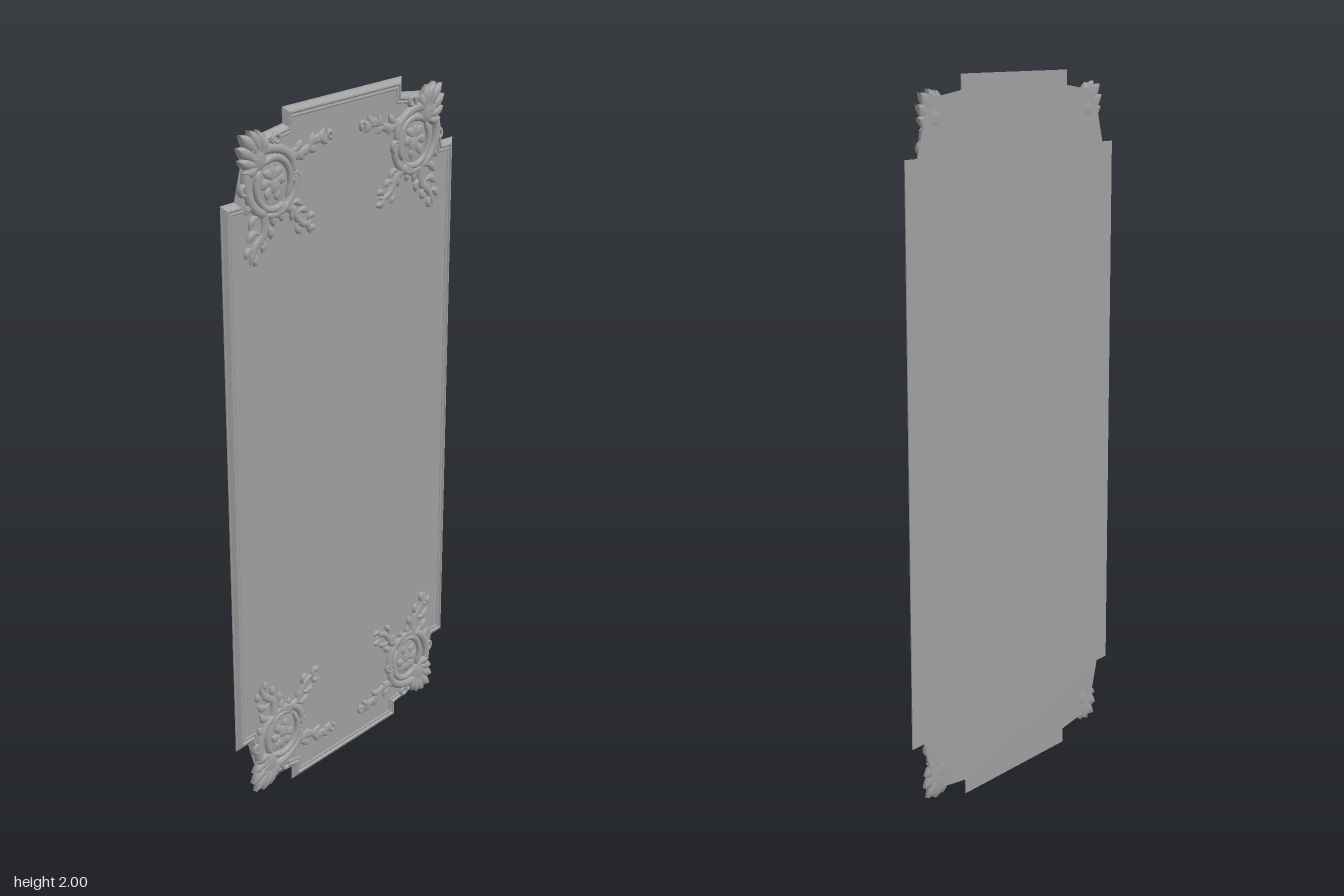
import * as THREE from 'three';
import { mergeGeometries } from 'three/addons/utils/BufferGeometryUtils.js';

const BACK = -0.013, FIELD = -0.004;
const mat = new THREE.MeshStandardMaterial({ color: 0x9e9e9e });
const V = (x, y) => new THREE.Vector2(x, y);

// One quarter of the panel outline, measured from the panel centre
const QUARTER = [[0.463, 0.792], [0.414, 0.792], [0.394, 0.862], [0.38, 0.91], [0.33, 0.945], [0.235, 0.958], [0.235, 1]];

function outline() {
  const pts = [];
  for (const [sx, sy] of [[1, 1], [-1, 1], [-1, -1], [1, -1]]) {
    const q = QUARTER.map(([x, y]) => V(x * sx, y * sy + 1));
    pts.push(...(sx * sy > 0 ? q : q.reverse()));
  }
  return pts;
}

// Mitred inward offset of a counter-clockwise outline
function inset(pts, d) {
  const n = pts.length;
  return pts.map((p, i) => {
    const a = p.clone().sub(pts[(i + n - 1) % n]).normalize();
    const b = pts[(i + 1) % n].clone().sub(p).normalize();
    const na = V(-a.y, a.x), nb = V(-b.y, b.x);
    return p.clone().addScaledVector(na.clone().add(nb), d / (1 + na.dot(nb)));
  });
}

// Moulding: a stepped profile carried round the outline, [inset, z]
function mouldingGeometry(pts) {
  const profile = [[0, BACK], [0, -0.0105], [0.004, -0.0085], [0.009, -0.004], [0.014, 0], [0.018, 0.0005],
    [0.021, -0.003], [0.024, -0.003], [0.027, -0.0015], [0.03, -0.0025], [0.032, FIELD - 0.001]];
  const rings = profile.map(([d, z]) => inset(pts, d).map(p => [p.x, p.y, z]));
  const pos = [], n = pts.length;
  for (let k = 0; k < rings.length - 1; k++)
    for (let i = 0; i < n; i++) {
      const j = (i + 1) % n;
      const a = rings[k][i], b = rings[k][j], c = rings[k + 1][j], d = rings[k + 1][i];
      pos.push(...a, ...b, ...c, ...a, ...c, ...d);
    }
  const g = new THREE.BufferGeometry();
  g.setAttribute('position', new THREE.Float32BufferAttribute(pos, 3));
  g.computeVertexNormals();
  return g;
}

// Carved stroke: domed cross-section swept along a flat curve.
// A leaf swells towards its tip (larger swell = blunter); a plain stroke tapers to the end ratio.
function stroke(points, width, height, { steps = 20, swell = 0, end = 0.5, lift = 0 } = {}) {
  const curve = new THREE.CatmullRomCurve3(points.map(([x, y]) => new THREE.Vector3(x, y, 0)));
  const SEG = 7, ring = SEG + 3, pos = [], idx = [];
  for (let i = 0; i <= steps; i++) {
    const t = i / steps, p = curve.getPointAt(t), tan = curve.getTangentAt(t);
    const round = Math.sqrt(Math.max(0, Math.min(1, t * 9, (1 - t) * 9)));
    const f = Math.max(0.02, swell ? Math.sin(Math.PI * Math.pow(0.15 + 0.85 * t, swell)) : (1 + (end - 1) * t) * round);
    const put = (s, z) => pos.push(p.x - tan.y * s, p.y + tan.x * s, z);
    put(-width * f, BACK + 0.0005);
    for (let k = 0; k <= SEG; k++) {
      const a = Math.PI * k / SEG;
      put(-Math.cos(a) * width * f, FIELD - 0.001 + lift + Math.sin(a) * height * (0.35 + 0.65 * f));
    }
    put(width * f, BACK + 0.0005);
  }
  for (let i = 0; i < steps; i++)
    for (let k = 0; k < ring; k++) {
      const a = i * ring + k, b = i * ring + (k + 1) % ring;
      idx.push(a, a + ring, b, b, a + ring, b + ring);
    }
  const g = new THREE.BufferGeometry();
  g.setAttribute('position', new THREE.Float32BufferAttribute(pos, 3));
  g.setIndex(idx);
  return g;
}

// Spiral scroll running inwards from a start angle
function scroll(cx, cy, r, start, turns, w, h) {
  const pts = Array.from({ length: 12 }, (_, i) => {
    const t = i / 11, a = start + turns * 2 * Math.PI * t, q = r * (1 - 0.8 * t);
    return [cx + Math.cos(a) * q, cy + Math.sin(a) * q];
  });
  return stroke(pts, w, h, { end: 0.8 });
}

// Arc of an oval, angles in radians
function arc(cx, cy, rx, ry, a0, a1, w, h, end) {
  const pts = Array.from({ length: 12 }, (_, i) => {
    const a = a0 + (a1 - a0) * i / 11;
    return [cx + Math.cos(a) * rx, cy + Math.sin(a) * ry];
  });
  return stroke(pts, w, h, { steps: 28, end });
}

// Blunt leaf lobe bending sideways between two points
function lobe(x0, y0, x1, y1, w, h, bend = 0.15, lift = 0) {
  const dx = x1 - x0, dy = y1 - y0;
  return stroke([[x0, y0], [(x0 + x1) / 2 - dy * bend, (y0 + y1) / 2 + dx * bend], [x1, y1]],
    w, h, { swell: 1.9, steps: 14, lift });
}

// Low oval dome
function dome(x, y, rx, ry, top) {
  const g = new THREE.SphereGeometry(1, 20, 12);
  g.deleteAttribute('uv');
  g.deleteAttribute('normal');
  return g.scale(rx, ry, top - FIELD).translate(x, y, FIELD);
}

// Parts of the upper +x corner ornament
function cornerParts() {
  const cx = 0.282, cy = 1.815;
  // Cartouche of two facing C-scrolls round a spread leaf
  const medallion = [
    arc(cx, cy, 0.064, 0.066, 0.9, 3.9, 0.012, 0.011, 0.8),
    arc(cx, cy, 0.062, 0.068, 0.75, -2.2, 0.012, 0.011, 0.8),
    dome(cx, cy, 0.054, 0.058, -0.001),
    dome(cx - 0.004, cy - 0.006, 0.022, 0.024, 0.005),
  ];
  for (const [dx, dy] of [[0.038, 0.034], [0.006, 0.048], [-0.034, 0.036], [-0.045, -0.002], [0.046, -0.008], [0.026, -0.04], [-0.014, -0.048]])
    medallion.push(lobe(cx, cy - 0.004, cx + dx, cy + dy, 0.014, 0.007, dx * 5, 0.002));

  // Shell of lobes filling the cut corner
  const shell = [dome(0.34, 1.89, 0.036, 0.036, 0.007)];
  for (const [x, y, w] of [[0.308, 1.946, 0.014], [0.336, 1.962, 0.015], [0.367, 1.966, 0.016], [0.398, 1.957, 0.017],
    [0.408, 1.926, 0.016], [0.404, 1.893, 0.015], [0.393, 1.862, 0.014]])
    shell.push(lobe(0.325, 1.875, x, y, w, 0.013, (y - 1.925) * 2, 0.001));
  shell.push(scroll(0.352, 1.905, 0.018, 3.6, 1.1, 0.008, 0.013));

  // Scrolls hugging the cartouche
  const scrolls = [
    stroke([[0.355, 1.89], [0.378, 1.85], [0.374, 1.8], [0.348, 1.76], [0.305, 1.735]], 0.016, 0.012, { end: 0.8 }),
    stroke([[0.335, 1.905], [0.285, 1.906], [0.238, 1.89], [0.21, 1.86], [0.206, 1.82]], 0.015, 0.012, { end: 0.8 }),
    stroke([[0.204, 1.84], [0.2, 1.79], [0.225, 1.752], [0.27, 1.732], [0.32, 1.738]], 0.013, 0.01, { end: 0.8 }),
    scroll(0.268, 1.925, 0.018, -0.8, 1.2, 0.008, 0.01),
    scroll(0.388, 1.815, 0.016, 2.2, -1.2, 0.008, 0.01),
    scroll(0.2, 1.812, 0.018, 0.5, 1.2, 0.008, 0.01),
  ];

  // Leaf spray running inwards along the short edge
  const sideSpray = [stroke([[0.25, 1.895], [0.205, 1.872], [0.16, 1.875], [0.115, 1.9], [0.06, 1.893]], 0.016, 0.008, { end: 0.55 })];
  for (const [x0, y0, x1, y1] of [[0.22, 1.885, 0.172, 1.908], [0.175, 1.875, 0.128, 1.918], [0.14, 1.89, 0.086, 1.921],
    [0.215, 1.875, 0.168, 1.852], [0.175, 1.872, 0.118, 1.864], [0.125, 1.892, 0.074, 1.876]])
    sideSpray.push(lobe(x0, y0, x1, y1, 0.012, 0.008, y1 > y0 ? 0.2 : -0.2));
  sideSpray.push(scroll(0.068, 1.9, 0.013, -1.6, -1, 0.007, 0.008));

  // Leaf spray running along the long edge
  const longSpray = [stroke([[0.335, 1.775], [0.315, 1.735], [0.318, 1.69], [0.352, 1.66], [0.37, 1.618]], 0.018, 0.009, { end: 0.5 })];
  for (const [x0, y0, x1, y1] of [[0.335, 1.77, 0.385, 1.752], [0.32, 1.735, 0.374, 1.712], [0.325, 1.69, 0.382, 1.678], [0.355, 1.66, 0.388, 1.638],
    [0.315, 1.735, 0.28, 1.7], [0.315, 1.705, 0.292, 1.67], [0.33, 1.68, 0.328, 1.642], [0.36, 1.65, 0.358, 1.612]])
    longSpray.push(lobe(x0, y0, x1, y1, 0.012, 0.008, x1 - x0 > 0.01 ? 0.25 : -0.25));

  // Tendril curling towards the middle of the panel
  const tendril = [stroke([[0.29, 1.732], [0.25, 1.745], [0.212, 1.732], [0.19, 1.7], [0.165, 1.682], [0.135, 1.684]], 0.016, 0.009, { end: 0.5 })];
  for (const [x0, y0, x1, y1, bend] of [[0.225, 1.74, 0.172, 1.732, -0.25], [0.2, 1.715, 0.15, 1.712, -0.2], [0.155, 1.683, 0.124, 1.699, -0.3],
    [0.16, 1.683, 0.12, 1.668, 0.2], [0.175, 1.69, 0.145, 1.652, -0.2], [0.19, 1.7, 0.178, 1.66, 0.25], [0.235, 1.738, 0.215, 1.7, -0.25],
    [0.27, 1.735, 0.25, 1.708, -0.2]])
    tendril.push(lobe(x0, y0, x1, y1, 0.01, 0.008, bend));
  return { medallion, shell, scrolls, sideSpray, longSpray, tendril };
}

// Mirrored copy with its winding kept outward
function mirrored(geo, sx, sy) {
  const g = geo.clone().translate(0, -1, 0).scale(sx, sy, 1).translate(0, 1, 0);
  if (sx * sy < 0) g.setIndex(Array.from(g.index.array).reverse());
  g.computeVertexNormals();
  return g;
}

export function createModel() {
  const group = new THREE.Group();
  const add = (parent, name, geo) => {
    const m = new THREE.Mesh(geo, mat);
    m.name = name;
    parent.add(m);
  };

  // Panel
  const pts = outline();
  add(group, 'moulding', mouldingGeometry(pts));
  add(group, 'panelFront', new THREE.ShapeGeometry(new THREE.Shape(inset(pts, 0.031))).translate(0, 0, FIELD));
  const back = new THREE.ShapeGeometry(new THREE.Shape(pts.map(p => V(-p.x, p.y))));
  add(group, 'panelBack', back.rotateY(Math.PI).translate(0, 0, BACK));

  // Corner ornaments
  const parts = Object.entries(cornerParts()).map(([name, list]) => [name, mergeGeometries(list)]);
  for (const [sx, sy] of [[1, 1], [-1, 1], [-1, -1], [1, -1]]) {
    const corner = new THREE.Group();
    corner.name = (sy > 0 ? 'upper' : 'lower') + (sx > 0 ? 'Left' : 'Right') + 'Ornament';
    for (const [name, geo] of parts) add(corner, name, mirrored(geo, sx, sy));
    group.add(corner);
  }
  return group;
}
